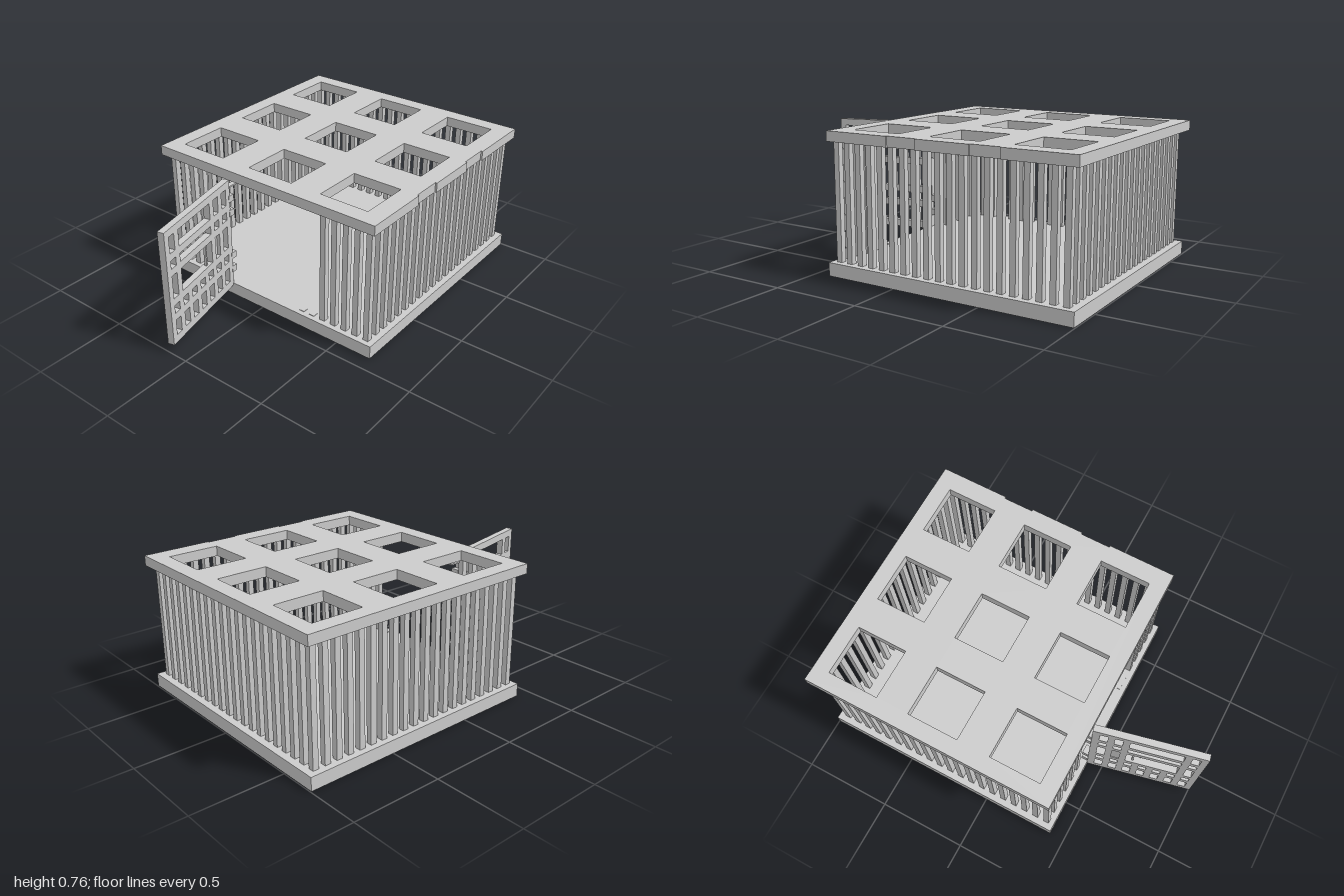
import * as THREE from 'three';

const material = new THREE.MeshStandardMaterial({ color: 0xcccccc, flatShading: true });

function add(parent, name, geometry, x = 0, y = 0, z = 0) {
  const mesh = new THREE.Mesh(geometry, material);
  mesh.name = name;
  mesh.position.set(x, y, z);
  parent.add(mesh);
  return mesh;
}

const box = (w, h, d) => new THREE.BoxGeometry(w, h, d);

function polygon(points) {
  return new THREE.Shape(points.map(([x, y]) => new THREE.Vector2(x, y)));
}

// Rectangular hole, wound against the outline
function cutRect(shape, x0, x1, y0, y1) {
  shape.holes.push(new THREE.Path([[x0, y0], [x0, y1], [x1, y1], [x1, y0]]
    .map(([x, y]) => new THREE.Vector2(x, y))));
}

const extrude = (shape, depth) => new THREE.ExtrudeGeometry(shape, { depth, bevelEnabled: false });

// Roof slab with nine square openings and two shallow notches in its left edge
function buildRoof(parent) {
  const shape = polygon([
    [-0.715, -0.41], [0.705, -0.41], [0.705, -0.03], [0.695, -0.03], [0.695, 0.14], [0.705, 0.14],
    [0.705, 0.445], [0.695, 0.445], [0.695, 0.615], [0.705, 0.615], [0.705, 1], [-0.715, 1],
  ]);
  for (const x of [-0.625, -0.155, 0.315]) {
    for (const y of [-0.315, 0.155, 0.625]) cutRect(shape, x, x + 0.285, y, y + 0.285);
  }
  add(parent, 'roof', extrude(shape, 0.055), 0, 0.71, 0).rotation.x = -Math.PI / 2;
}

// Four walls of square bars, leaving the doorway open
function buildBars(parent) {
  const bars = new THREE.Group();
  bars.name = 'bars';
  parent.add(bars);
  const geometry = box(0.032, 0.65, 0.032);
  const y = 0.39, step = 0.069, count = 20;
  for (let i = 0; i < count; i++) {
    const x = -0.65 + i * step;
    const z = 0.37 - i * step;
    add(bars, 'backBar', geometry, x, y, 0.37 - (count - 1) * step);
    if (i < 6 || i > 14) add(bars, 'frontBar', geometry, x, y, 0.37);
    if (i > 0 && i < count - 1) {
      add(bars, 'rightBar', geometry, -0.65, y, z);
      add(bars, 'leftBar', geometry, -0.65 + (count - 1) * step, y, z);
    }
  }
}

// Lattice door swung open; local x runs from hinge to free edge
function buildDoor(parent) {
  const door = new THREE.Group();
  door.name = 'door';
  door.position.set(-0.215, 0, 0.407);
  door.rotation.y = -1.344;
  parent.add(door);

  const shape = polygon([[0, 0.058], [0.603, 0.058], [0.603, 0.71], [0, 0.71]]);
  const column = (i) => 0.04 + i * 0.0807;
  const slot = 0.044;
  // Lower rows of small slots
  for (const [y0, y1] of [[0.10, 0.19], [0.23, 0.277]]) {
    for (let i = 0; i < 7; i++) cutRect(shape, column(i), column(i) + slot, y0, y1);
  }
  // Upper rows: two slots, a wide window and one slot
  for (const [y0, y1] of [[0.318, 0.45], [0.49, 0.537], [0.577, 0.67]]) {
    for (const i of [0, 1, 6]) cutRect(shape, column(i), column(i) + slot, y0, y1);
    cutRect(shape, column(2), column(5) + slot, y0, y1);
  }
  add(door, 'doorFrame', extrude(shape, 0.037));

  // Lock plate and slim bar in the middle row
  add(door, 'lockPlate', box(0.06, 0.14, 0.014), column(1) + slot / 2, 0.384, 0.026);
  add(door, 'windowBar', box(0.01, 0.14, 0.014), 0.24, 0.384, 0.018);
}

export function createModel() {
  const cage = new THREE.Group();
  cage.name = 'cage';

  add(cage, 'base', box(1.41, 0.073, 1.41), 0.005, 0.0365, -0.29);
  buildRoof(cage);
  buildBars(cage);
  buildDoor(cage);

  // Hinge tabs and the latch pin
  for (const y of [0.165, 0.25, 0.515, 0.6]) {
    add(cage, 'hingeTab', box(0.05, 0.038, 0.035), -0.235, y, 0.4);
  }
  add(cage, 'latchPin', box(0.03, 0.008, 0.07), -0.24, 0.66, 0.37);

  // Sockets of the removed bars in the doorway floor
  for (const x of [0.25, 0.316]) add(cage, 'barSocket', box(0.032, 0.004, 0.032), x, 0.0735, 0.37);

  return cage;
}
